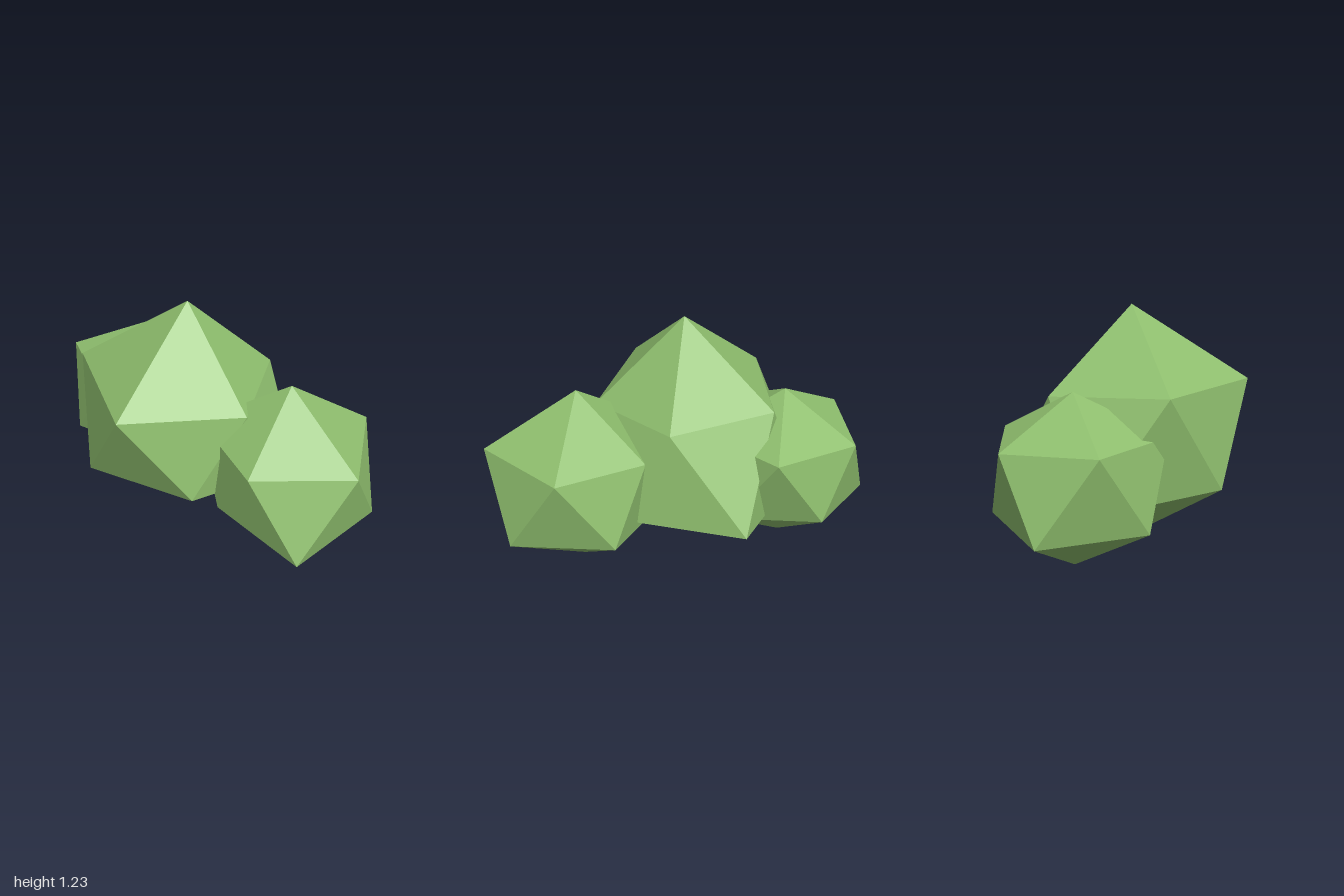
import * as THREE from 'three';

const SQUASH = 0.44; // vertical offset of a ring vertex per unit of ring radius

// A lumpy icosahedron: two poles and two staggered five-point rings of uneven radius.
function clump(name, material, { x, z, middle, top, bottom, upper, lower }) {
  const ring = (radii, turn, side) => radii.map((r, k) => {
    const a = THREE.MathUtils.degToRad(turn + 72 * k);
    return new THREE.Vector3(x + r * Math.cos(a), middle + side * SQUASH * r, z + r * Math.sin(a));
  });
  const t = ring(upper, 0, 1);
  const b = ring(lower, 36, -1);
  const crown = new THREE.Vector3(x, top, z);
  const base = new THREE.Vector3(x, bottom, z);

  const points = [];
  for (let k = 0; k < 5; k++) {
    const n = (k + 1) % 5;
    points.push(crown, t[n], t[k]);   // cap
    points.push(t[k], t[n], b[k]);    // belt, pointing down
    points.push(b[n], b[k], t[n]);    // belt, pointing up
    points.push(base, b[k], b[n]);    // underside
  }
  const geometry = new THREE.BufferGeometry().setFromPoints(points);
  geometry.computeVertexNormals(); // unshared corners give flat facets
  const mesh = new THREE.Mesh(geometry, material);
  mesh.name = name;
  return mesh;
}

export function createModel() {
  const leaf = new THREE.MeshStandardMaterial({ color: 0x8fbf6e });
  leaf.name = 'leafGreen';

  const group = new THREE.Group();
  group.name = 'bush';
  group.add(
    // large middle clump
    clump('middleClump', leaf, {
      x: -0.03, z: 0.025, middle: 0.59, top: 1.235, bottom: 0.005,
      upper: [0.46, 0.6, 0.577, 0.5, 0.466],
      lower: [0.49, 0.55, 0.66, 0.66, 0.6],
    }),
    // smaller clumps on either side
    clump('leftClump', leaf, {
      x: 0.535, z: -0.16, middle: 0.468, top: 0.955, bottom: 0.005,
      upper: [0.465, 0.39, 0.46, 0.38, 0.44],
      lower: [0.494, 0.37, 0.43, 0.425, 0.457],
    }),
    clump('rightClump', leaf, {
      x: -0.535, z: -0.1, middle: 0.445, top: 0.86, bottom: 0.005,
      upper: [0.42, 0.45, 0.457, 0.395, 0.445],
      lower: [0.43, 0.445, 0.465, 0.395, 0.42],
    }),
  );
  return group;
}
